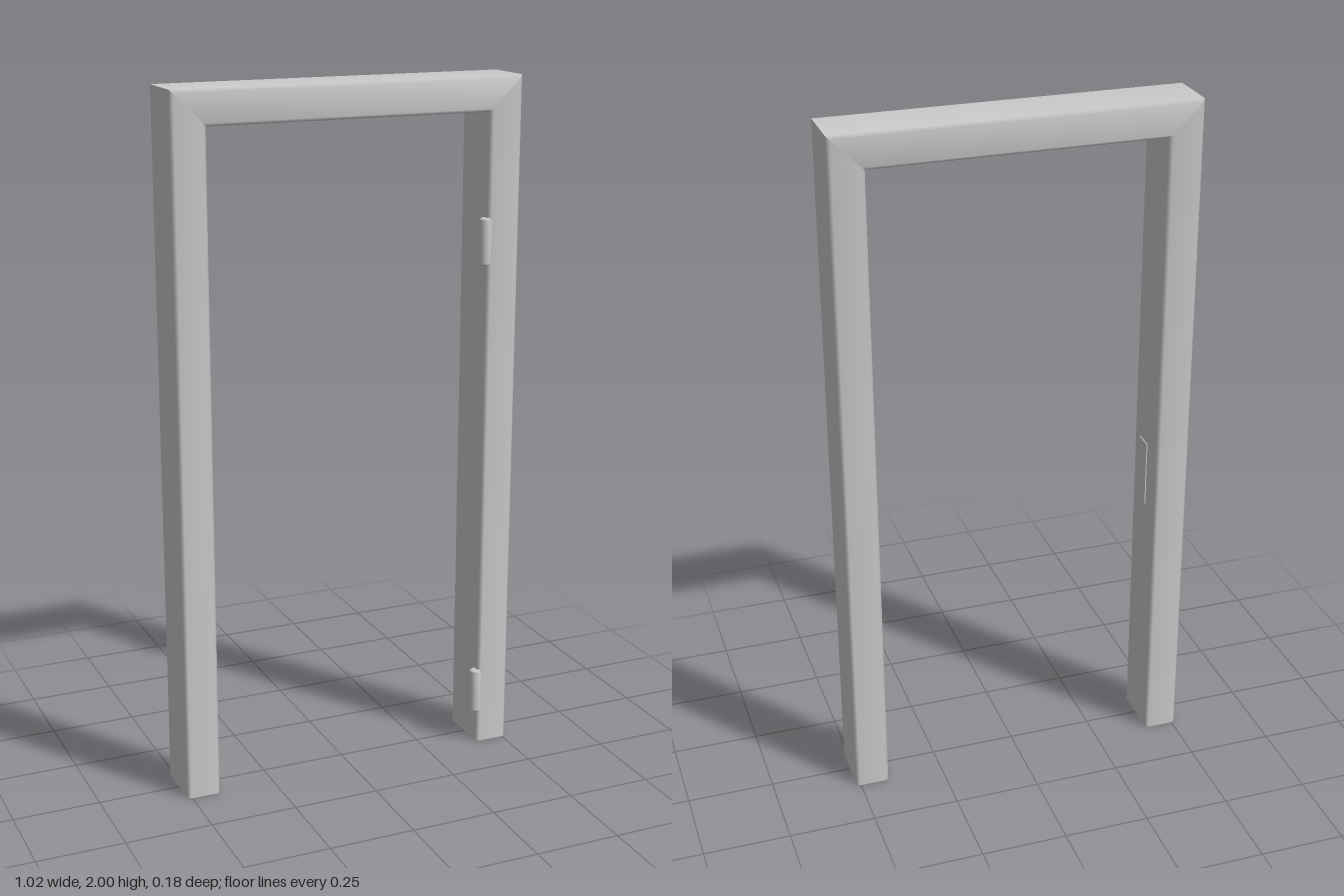
import * as THREE from 'three';

const material = new THREE.MeshStandardMaterial({ color: 0xcccccc, side: THREE.DoubleSide });

const HALF = 0.512, TOP = 2, DEPTH = 0.098; // outer half width, height, face width
const BACK = -0.088, FRONT = 0.082, C = 0.009; // depth range and edge chamfer

// Bevelled section: inward offset d from the outer edge, and z
const section = [
  [0, BACK + C], [0, FRONT - C], [C, FRONT], [DEPTH - C, FRONT],
  [DEPTH, FRONT - C], [DEPTH, BACK + C], [DEPTH - C, BACK], [C, BACK],
];

// Mitred rings along the frame: left foot, left corner, right corner, right foot
const rings = [
  d => [-HALF + d, 0],
  d => [-HALF + d, TOP - d],
  d => [HALF - d, TOP - d],
  d => [HALF - d, 0],
];

// Open tube between two rings, smooth around the section
function member(name, start, end) {
  const positions = [], index = [], n = section.length;
  for (const ring of [start, end])
    for (const [d, z] of section) positions.push(...ring(d), z);
  for (let i = 0; i < n; i++) {
    const j = (i + 1) % n;
    index.push(i, j, n + j, i, n + j, n + i);
  }
  const geometry = new THREE.BufferGeometry();
  geometry.setAttribute('position', new THREE.Float32BufferAttribute(positions, 3));
  geometry.setIndex(index);
  geometry.computeVertexNormals();
  const mesh = new THREE.Mesh(geometry, material);
  mesh.name = name;
  return mesh;
}

// Hinge barrel with bevelled ends
function hinge(name, y) {
  const r = 0.0185, h = 0.067, b = 0.006;
  const profile = [[0, -h], [r - b, -h], [r, -h + b], [r, h - b], [r - b, h], [0, h]]
    .map(([x, py]) => new THREE.Vector2(x, py));
  const mesh = new THREE.Mesh(new THREE.LatheGeometry(profile, 16), material);
  mesh.position.set(0.41, y, 0.0695);
  mesh.name = name;
  return mesh;
}

export function createModel() {
  const group = new THREE.Group();
  group.name = 'doorFrame';

  ['rightJamb', 'header', 'leftJamb'].forEach((name, i) =>
    group.add(member(name, rings[i], rings[i + 1])));

  group.add(hinge('lowerHinge', 0.167), hinge('upperHinge', 1.54));

  // Thin strike plate on the inner face opposite the hinges
  const plate = new THREE.Mesh(new THREE.BoxGeometry(0.006, 0.2, 0.055), material);
  plate.position.set(-HALF + DEPTH, 0.86, 0.012);
  plate.name = 'strikePlate';
  group.add(plate);

  return group;
}
